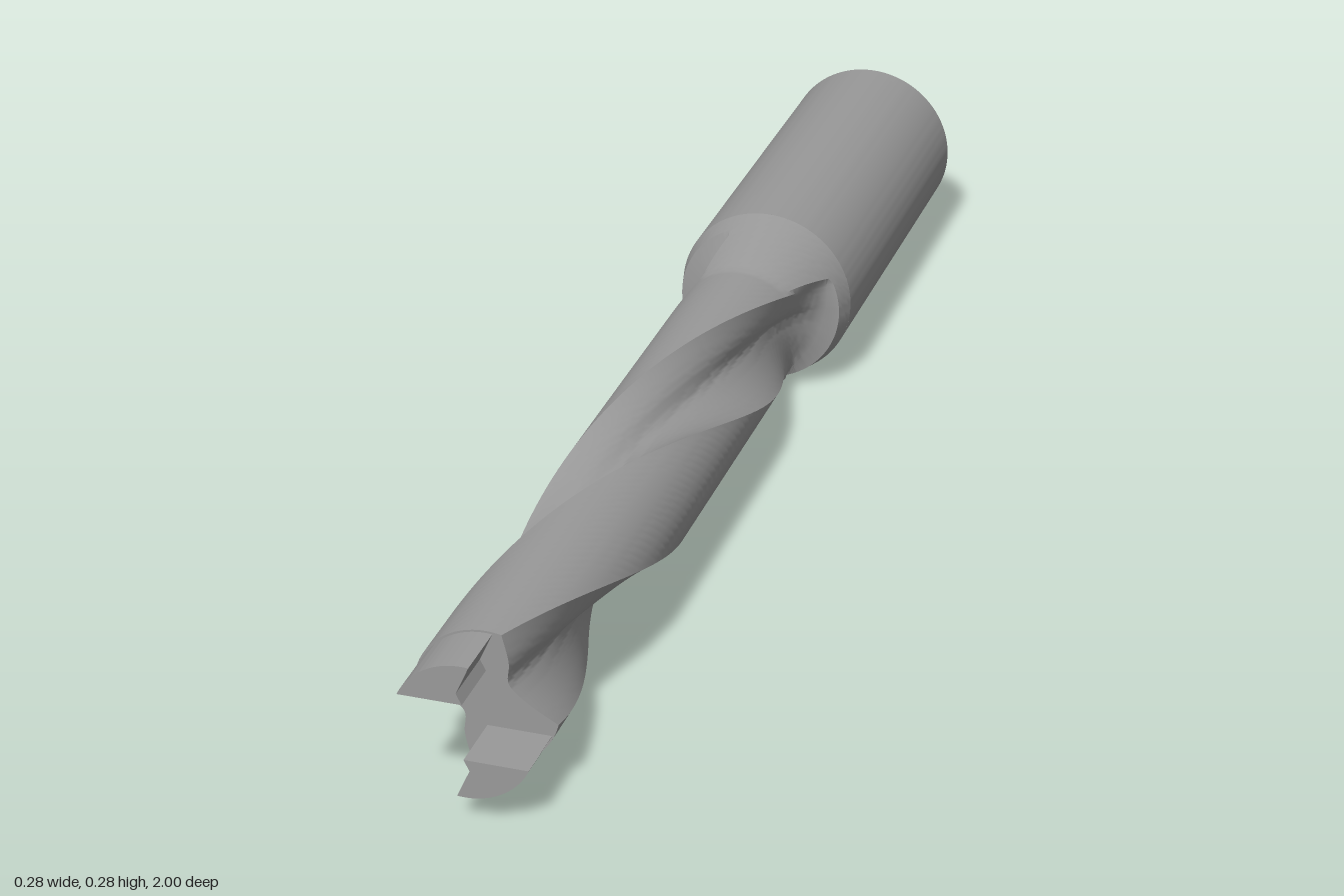
import * as THREE from 'three';
import { toCreasedNormals } from 'three/addons/utils/BufferGeometryUtils.js';

const AXIS_Y = 0.139, SHANK_R = 0.139, BODY_R = 0.103;
const NECK_BACK = -0.37, NECK_FRONT = -0.23, BODY_FRONT = 0.91, TIP = 1;
const rad = THREE.MathUtils.degToRad;
const { lerp, clamp } = THREE.MathUtils;
const range = (a, b, n) => Array.from({ length: n + 1 }, (_, i) => lerp(a, b, i / n));

// Closed skin through counter-clockwise sections ordered from back to front
function loft(sections) {
  const n = sections[0].length, pos = [], idx = [];
  for (const s of sections) for (const p of s) pos.push(...p);
  sections.slice(1).forEach((_, i) => {
    for (let j = 0; j < n; j++) {
      const a = i * n + j, b = i * n + (j + 1) % n;
      idx.push(a, b, b + n, a, b + n, a + n);
    }
  });
  const last = (sections.length - 1) * n, back = pos.length / 3;
  pos.push(0, 0, sections[0][0][2], 0, 0, sections.at(-1)[0][2]);
  for (let j = 0; j < n; j++) {
    const k = (j + 1) % n;
    idx.push(back, k, j, back + 1, last + j, last + k);
  }
  const g = new THREE.BufferGeometry();
  g.setAttribute('position', new THREE.Float32BufferAttribute(pos, 3));
  g.setIndex(idx);
  return toCreasedNormals(g, 0.5);
}

// Round shank with a rear chamfer and a sloping clamping flat underneath
function shankGeometry() {
  const floorAt = z => z > -0.55
    ? lerp(-0.109, -SHANK_R, clamp((z + 0.55) / 0.035, 0, 1))
    : lerp(-0.121, -0.109, (z + 1) / 0.45);
  const zs = [-1, ...range(-0.985, -0.55, 6), ...range(-0.545, -0.515, 6), NECK_BACK];
  return loft(zs.map(z => {
    const r = z === -1 ? 0.124 : SHANK_R;
    return range(0, 2 * Math.PI, 128).slice(0, -1).map(a =>
      [r * Math.cos(a), Math.max(r * Math.sin(a), floorAt(z)), z]);
  }));
}

// Flute floor as [degrees from the flute centre, radius]
const flute = new THREE.CatmullRomCurve3([
  [-45, 0.103], [-34, 0.064], [-16, 0.046], [10, 0.042], [29, 0.067], [45, 0.103],
].map(([a, r]) => new THREE.Vector3(r * Math.cos(rad(a)), r * Math.sin(rad(a)), 0)), false, 'centripetal');

// Tapered neck and body with two helical flutes that run out in the neck
function bodyGeometry() {
  const half = flute.getPoints(32).map(p => ({ a: Math.atan2(p.y, p.x), r: p.length() }));
  half.push(...range(45, 135, 24).slice(1, -1).map(d => ({ a: rad(d), r: null })));
  const zs = [...range(NECK_BACK, NECK_FRONT, 24), ...range(NECK_FRONT, BODY_FRONT, 110).slice(1)];
  return loft(zs.map(z => {
    const R = lerp(SHANK_R, BODY_R, clamp((z - NECK_BACK) / (NECK_FRONT - NECK_BACK), 0, 1));
    const t = clamp((z + 0.335) / 0.16, 0, 1);
    const depth = Math.sqrt(1 - (1 - t) ** 2);
    const twist = rad(32 + 187.5 * (z - BODY_FRONT));
    return [0, Math.PI].flatMap(turn => half.map(({ a, r }) => {
      const q = r === null ? R : lerp(R, r, depth);
      const angle = a + turn + twist;
      return [q * Math.cos(angle), q * Math.sin(angle), z];
    }));
  }));
}

// One of the two cutting prongs beside the front slot
function prongGeometry() {
  const r = 0.1, start = Math.PI - Math.asin(0.042 / r), end = rad(84);
  const s = new THREE.Shape();
  s.moveTo(0, 0.042);
  s.lineTo(-0.008, 0.058);
  s.lineTo(r * Math.cos(end), r * Math.sin(end));
  s.absarc(0, 0, r, end, start, false);
  s.closePath();
  const z0 = BODY_FRONT - 0.01;
  const g = new THREE.ExtrudeGeometry(s, { depth: TIP - z0, bevelEnabled: false, curveSegments: 24 });
  g.translate(0, 0, z0);
  return toCreasedNormals(g, 0.4);
}

export function createModel() {
  const steel = new THREE.MeshStandardMaterial({ color: 0x999999 });
  steel.name = 'steel';
  const model = new THREE.Group();
  model.name = 'drillBody';
  const add = (name, geometry) => {
    const mesh = new THREE.Mesh(geometry, steel);
    mesh.name = name;
    mesh.position.y = AXIS_Y;
    model.add(mesh);
    return mesh;
  };
  add('shank', shankGeometry());
  add('flutedBody', bodyGeometry());
  const prong = prongGeometry();
  add('upperProng', prong);
  add('lowerProng', prong).rotation.z = Math.PI;
  return model;
}
